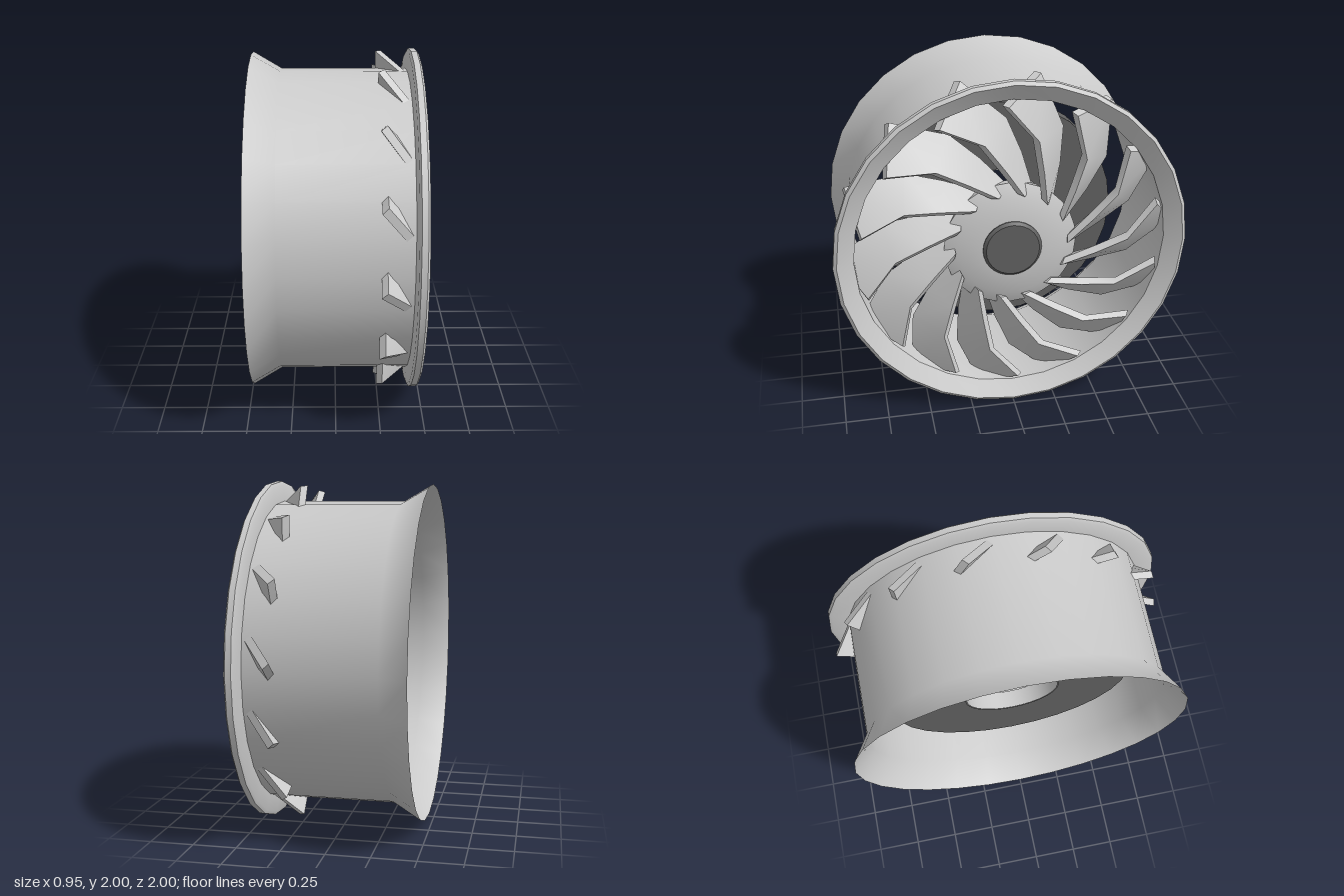
import * as THREE from 'three';
import { toCreasedNormals } from 'three/addons/utils/BufferGeometryUtils.js';

const SEGMENTS = 28;
const SPOKES = 14;

const grey = new THREE.MeshStandardMaterial({ color: 0xcccccc, side: THREE.DoubleSide });
const dark = new THREE.MeshStandardMaterial({ color: 0x606060, side: THREE.DoubleSide });

// Turn a profile of [radius, x] points around the x axis
function turned(name, profile, material, crease) {
  let geometry = new THREE.LatheGeometry(profile.map(([r, x]) => new THREE.Vector2(r, x)), SEGMENTS);
  geometry.rotateZ(-Math.PI / 2);
  if (crease) geometry = toCreasedNormals(geometry, crease);
  const mesh = new THREE.Mesh(geometry, material);
  mesh.name = name;
  return mesh;
}

// Point at a radius and angle (degrees from the top, towards +z) around the x axis
function polar(r, degrees, x) {
  const a = THREE.MathUtils.degToRad(degrees);
  return new THREE.Vector3(x, r * Math.cos(a), r * Math.sin(a));
}

// Swept, pitched blade lofted through four-cornered sections from hub to rim
function spokeGeometry() {
  const front = [[0.32, -40, 0.405], [0.48, -23, 0.425], [0.66, -14, 0.44], [0.85, 0, 0.445]];
  const rear = [[0.34, -52, 0.27], [0.53, -36, 0.27], [0.73, -27, 0.27], [0.985, -12.5, 0.265]];
  const thickness = 0.045;
  const sections = front.map((f, i) => {
    const a = polar(...f);
    const b = polar(...rear[i]);
    const radial = a.clone().add(b).setX(0).normalize();
    const offset = b.clone().sub(a).cross(radial).normalize().multiplyScalar(-thickness);
    return [a, b, b.clone().add(offset), a.clone().add(offset)];
  });
  const points = [];
  const quad = (a, b, c, d) => points.push(a, b, c, a, c, d);
  for (let i = 0; i < sections.length - 1; i++) {
    const s = sections[i];
    const t = sections[i + 1];
    for (let j = 0; j < 4; j++) {
      const k = (j + 1) % 4;
      quad(s[j], s[k], t[k], t[j]);
    }
  }
  quad(...sections[0].slice().reverse());
  quad(...sections[sections.length - 1]);
  return toCreasedNormals(new THREE.BufferGeometry().setFromPoints(points), 0.7);
}

export function createModel() {
  const model = new THREE.Group();
  model.name = 'wheel';
  const wheel = new THREE.Group();
  wheel.name = 'wheelAssembly';
  wheel.position.y = 1;
  model.add(wheel);

  // Open barrel with flared inner end
  wheel.add(turned('barrel', [[0.98, -0.473], [0.885, -0.31], [0.885, 0.415]], grey));

  // Bevelled lip dished towards the barrel
  wheel.add(turned('outerLip', [
    [0.885, 0.41], [0.98, 0.417], [1, 0.427], [1, 0.46], [0.98, 0.473], [0.885, 0.415],
  ], grey, 0.6));

  // Brake disc behind the spokes, with a bushing in its bore
  wheel.add(turned('brakeDisc', [
    [0.28, -0.175], [0.7, -0.175], [0.7, -0.07], [0.28, -0.07],
  ], dark, 0.6));
  wheel.add(turned('discBushing', [[0.275, -0.175], [0.275, -0.07]], grey));

  // Domed hub and centre cap
  wheel.add(turned('hub', [
    [0, 0.27], [0.36, 0.27], [0.38, 0.35], [0.3, 0.385], [0.16, 0.405], [0, 0.405],
  ], grey, 0.6));
  wheel.add(turned('centreCap', [
    [0.168, 0.38], [0.168, 0.41], [0.152, 0.425], [0, 0.425],
  ], dark, 0.5));

  // Ring of turbine spokes whose tips pass through the barrel
  const spokes = new THREE.Group();
  spokes.name = 'spokes';
  const geometry = spokeGeometry();
  for (let i = 0; i < SPOKES; i++) {
    const spoke = new THREE.Mesh(geometry, grey);
    spoke.name = 'spoke';
    spoke.rotation.x = THREE.MathUtils.degToRad(2) + (i * 2 * Math.PI) / SPOKES;
    spokes.add(spoke);
  }
  wheel.add(spokes);

  return model;
}
